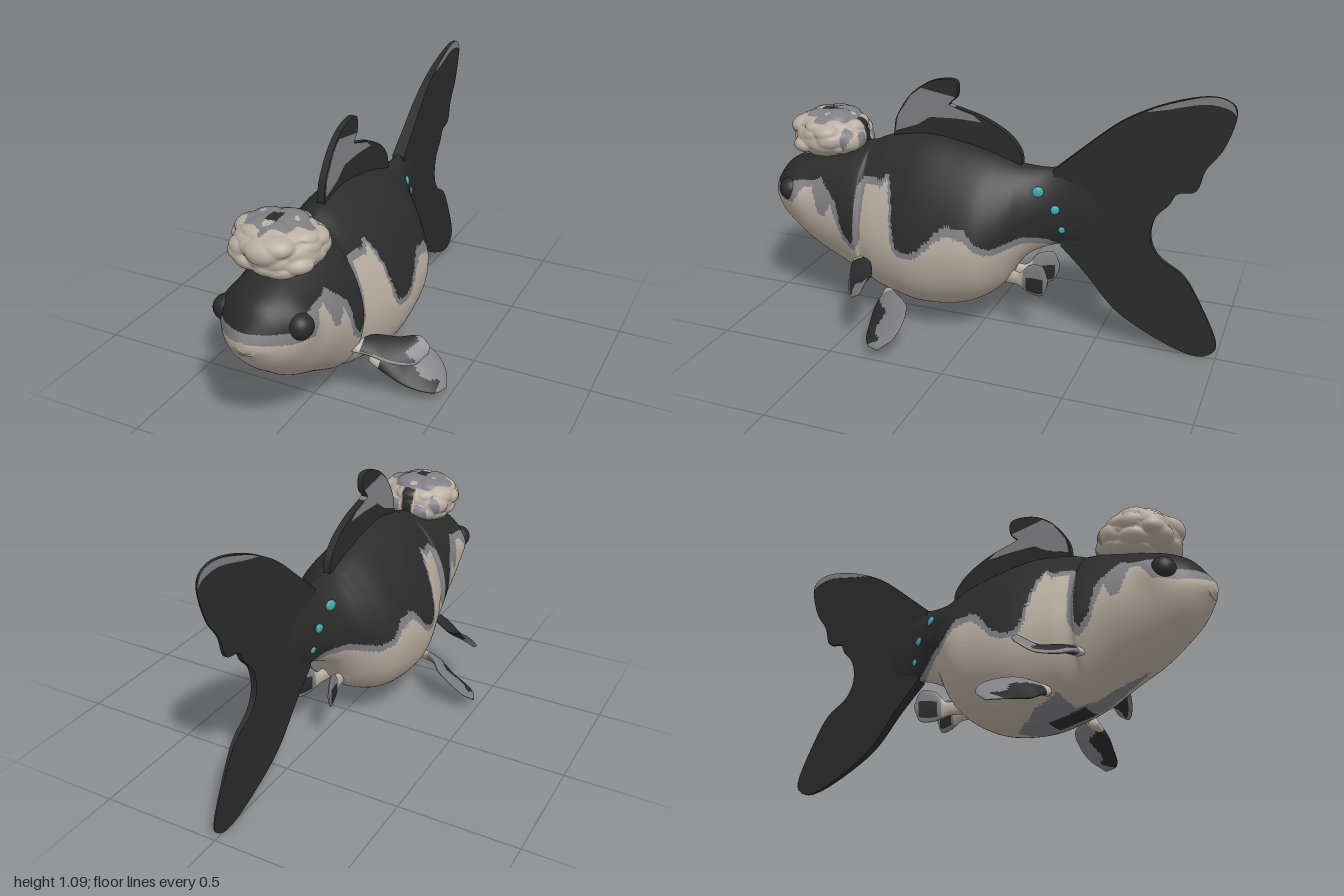
import * as THREE from 'three';

const V = (x, y, z) => new THREE.Vector3(x, y, z);
const CREAM = 0, GREY = 1, BLACK = 2;

// Linear lookup in rows sorted by descending first column
function lookup(rows, k, col) {
  if (k >= rows[0][0]) return rows[0][col];
  for (let i = 1; i < rows.length; i++) {
    const a = rows[i - 1], b = rows[i];
    if (k >= b[0]) return b[col] + (a[col] - b[col]) * (k - b[0]) / (a[0] - b[0]);
  }
  return rows[rows.length - 1][col];
}

// Skin over closed rings; pick(centre, u, v) chooses the material of each face
function skin(rings, pick) {
  const mid = r => r.reduce((s, p) => s.add(p), V(0, 0, 0)).divideScalar(r.length);
  const all = [rings[0].map(() => mid(rings[0])), ...rings, rings[0].map(() => mid(rings.at(-1)))];
  const n = rings[0].length, pts = all.flat(), buckets = [[], [], []];
  const c = V(0, 0, 0), x = V(0, 0, 0);
  let volume = 0;
  const face = (i, j, l, u, v) => {
    c.copy(pts[i]).add(pts[j]).add(pts[l]).divideScalar(3);
    volume += x.crossVectors(pts[i], pts[j]).dot(pts[l]);
    buckets[pick(c, u, v)].push(i, j, l);
  };
  for (let i = 0; i < all.length - 1; i++) for (let j = 0; j < n; j++) {
    const a = i * n + j, b = i * n + (j + 1) % n, u = i / (all.length - 1), v = j / n;
    if (i > 0) face(a, b, a + n, u, v);
    if (i < all.length - 2) face(b, b + n, a + n, u, v);
  }
  // Turn every face outward
  if (volume < 0) for (const l of buckets) for (let i = 0; i < l.length; i += 3) [l[i], l[i + 1]] = [l[i + 1], l[i]];
  const g = new THREE.BufferGeometry().setFromPoints(pts);
  g.setIndex(buckets.flat());
  let start = 0;
  buckets.forEach((l, k) => { if (l.length) g.addGroup(start, l.length, k); start += l.length; });
  g.computeVertexNormals();
  return g;
}

// Lens-section fin between two edge curves
function blade(edgeA, edgeB, side, thick, pick) {
  const rail = e => new THREE.CatmullRomCurve3(e.map(p => V(p[0] * side, p[1], p[2])));
  const A = rail(edgeA), B = rail(edgeB), N = 40, M = 22, rings = [];
  for (let i = 0; i <= N; i++) {
    const u = i / N, f = Math.min(u, 0.85), a = A.getPoint(u), b = B.getPoint(u);
    const dir = A.getTangent(f).add(B.getTangent(f));
    const nrm = B.getPoint(f).sub(A.getPoint(f)).cross(dir).normalize();
    const t = thick * (1 - 0.8 * u), ring = [];
    for (let j = 0; j < 2 * M; j++) {
      const w = j * Math.PI / M;
      ring.push(a.clone().lerp(b, (1 - Math.cos(w)) / 2).addScaledVector(nrm, t * Math.sin(w)));
    }
    rings.push(ring);
  }
  return skin(rings, (c, u, v) => pick(u, (1 - Math.cos(v * 2 * Math.PI)) / 2));
}

// Upright slab from a (z, y) outline with a tapering half thickness
function slab(outline, half) {
  const shape = new THREE.Shape(outline.map(p => new THREE.Vector2(p[0], p[1])));
  const g = new THREE.ExtrudeGeometry(shape, { depth: 2, bevelEnabled: false });
  const p = g.attributes.position;
  for (let i = 0; i < p.count; i++) {
    const z = p.getX(i), y = p.getY(i);
    p.setXYZ(i, (1 - p.getZ(i)) * half(z, y), y, z);
  }
  g.computeVertexNormals();
  return g;
}

const smooth = (pts, n) => new THREE.SplineCurve(pts.map(p => new THREE.Vector2(p[0], p[1]))).getPoints(n).map(p => [p.x, p.y]);

// Body stations: z, top, bottom, half width, height of widest point
const BODY = [
  [0.995, 0.53, 0.49, 0.02, 0.51], [0.97, 0.57, 0.455, 0.07, 0.5], [0.92, 0.635, 0.385, 0.125, 0.5],
  [0.85, 0.675, 0.325, 0.17, 0.5], [0.75, 0.71, 0.25, 0.195, 0.48], [0.62, 0.745, 0.185, 0.215, 0.46],
  [0.52, 0.77, 0.137, 0.232, 0.44], [0.49, 0.778, 0.128, 0.223, 0.42], [0.41, 0.81, 0.11, 0.25, 0.4],
  [0.25, 0.835, 0.085, 0.285, 0.38], [0.09, 0.815, 0.1, 0.285, 0.4], [-0.02, 0.79, 0.145, 0.27, 0.42],
  [-0.1, 0.765, 0.21, 0.22, 0.46], [-0.15, 0.75, 0.29, 0.175, 0.5], [-0.2, 0.745, 0.355, 0.125, 0.53],
  [-0.28, 0.745, 0.4, 0.07, 0.57], [-0.36, 0.76, 0.42, 0.044, 0.57], [-0.45, 0.76, 0.41, 0.028, 0.57],
  [-0.55, 0.7, 0.45, 0.01, 0.57]];

// Flank markings: z, lower limit of black, lower limit of grey
const MARKS = [
  [1, 0.56, 0.525], [0.9, 0.55, 0.505], [0.82, 0.6, 0.51], [0.77, 0.61, 0.58], [0.73, 0.61, 0.59], [0.69, 0.63, 0.48],
  [0.66, 0.6, 0.47], [0.63, 0.57, 0.53], [0.6, 0.54, 0.46], [0.57, 0.42, 0.38], [0.53, 0.37, 0.34],
  [0.515, 0.4, 0.34], [0.51, 0.62, 0.35], [0.485, 0.66, 0.4], [0.475, 0.66, 0.63], [0.4, 0.66, 0.63], [0.37, 0.69, 0.67],
  [0.34, 0.62, 0.55], [0.32, 0.5, 0.42], [0.3, 0.41, 0.38], [0.26, 0.39, 0.37], [0.2, 0.41, 0.38],
  [0.17, 0.44, 0.41], [0.12, 0.5, 0.46], [0.08, 0.53, 0.49], [0, 0.52, 0.48], [-0.05, 0.46, 0.43],
  [-0.1, 0.44, 0.41], [-0.2, 0.47, 0.44], [-0.28, 0.45, 0.42], [-0.34, 0.42, 0.4], [-0.36, 0, 0]];

// Half width of the belly patch along z
const PATCH = [[0.72, 0], [0.6, 0.035], [0.5, 0.05], [0.43, 0.07], [0.4, 0.16], [0.28, 0.14], [0.18, 0.05], [0.14, 0]];

function bodyColour(c) {
  if (c.y > lookup(MARKS, c.z, 1)) return BLACK;
  if (c.y > lookup(MARKS, c.z, 2)) return GREY;
  if (c.y < 0.3 && Math.abs(c.x) < lookup(PATCH, c.z, 1)) return c.z < 0.46 && c.z > 0.3 && Math.abs(c.x) < 0.05 ? BLACK : GREY;
  return CREAM;
}

const signedPow = (v, e) => Math.sign(v) * Math.abs(v) ** e;

function bodyGeometry() {
  const P = new THREE.CatmullRomCurve3(BODY.map(b => V(b[0], b[1], b[2])), false, 'catmullrom');
  const Q = new THREE.CatmullRomCurve3(BODY.map(b => V(b[3], b[4], 0)), false, 'catmullrom');
  const rings = [], N = 240, M = 140;
  for (let i = 0; i <= N; i++) {
    const p = P.getPoint(i / N), q = Q.getPoint(i / N), ring = [];
    // The head is fuller above and narrower at the throat than the body
    const head = THREE.MathUtils.smoothstep(p.x, 0.4, 0.65);
    for (let j = 0; j < M; j++) {
      const a = (j + 0.5) / M * Math.PI * 2, s = Math.sin(a), e = s > 0 ? 1.25 - 0.25 * head : 0.92 + 0.18 * head;
      const y = q.y + (s > 0 ? p.y - q.y : q.y - p.z) * signedPow(s, e);
      // Swelling around the eye socket
      const socket = 0.022 * Math.exp(-(((p.x - 0.82) / 0.06) ** 2) - ((y - 0.56) / 0.07) ** 2);
      const x = signedPow(Math.cos(a), e);
      ring.push(V(q.x * x + socket * Math.sign(x), y, p.x));
    }
    rings.push(ring);
  }
  return skin(rings, bodyColour);
}

// Lumpy growth on the head: an ellipsoid with uneven bumps round seeded points
function crownGeometry() {
  let seed = 7;
  const rnd = () => (seed = (seed * 16807) % 2147483647) / 2147483647;
  const seeds = Array.from({ length: 60 }, (_, k) => {
    const y = 1 - 2 * (k + 0.5) / 60, r = Math.sqrt(1 - y * y), a = k * 2.39996 + rnd() * 0.5;
    return { d: V(r * Math.cos(a), y + (rnd() - 0.5) * 0.2, r * Math.sin(a)).normalize(), h: 0.07 + rnd() * 0.17, r: 0.32 + rnd() * 0.16 };
  });
  const rings = [], N = 72, M = 120;
  for (let i = 0; i <= N; i++) {
    const t = (i + 0.1) / (N + 0.2) * Math.PI, ring = [];
    for (let j = 0; j < M; j++) {
      const a = j / M * Math.PI * 2, d = V(Math.sin(t) * Math.cos(a), Math.cos(t), Math.sin(t) * Math.sin(a));
      let bump = 0;
      for (const s of seeds) bump = Math.max(bump, s.h * Math.sqrt(Math.max(0, 1 - (d.distanceTo(s.d) / s.r) ** 2)));
      const r = 0.85 + bump;
      ring.push(V(d.x * r * 0.18, 0.788 + signedPow(d.y, 0.9) * r * 0.107, 0.71 + d.z * r * 0.172));
    }
    rings.push(ring);
  }
  return skin(rings, c => {
    const x = c.x / 0.18, y = (c.y - 0.788) / 0.11, z = (c.z - 0.71) / 0.18;
    const noise = Math.sin(9 * x + 2) * Math.sin(8 * z + 3 * y);
    if (Math.abs(x + 0.05) < 0.13 && (z < -0.7 || (y > 0.7 && z > -0.1 && z < 0.25))) return BLACK;
    return y - 0.15 * z + 0.2 * noise > 0.74 || (z < -0.6 && noise > 0.1) ? GREY : CREAM;
  });
}

export function createModel() {
  const root = new THREE.Group();
  const mat = (name, color) => Object.assign(new THREE.MeshStandardMaterial({ color }), { name });
  const cream = mat('cream', 0xb8ada0), grey = mat('grey', 0x7f7f83), black = mat('black', 0x2b2b2b), teal = mat('teal', 0x45aaaa);
  const skinMats = [cream, grey, black];
  const add = (name, geo, m) => {
    const mesh = new THREE.Mesh(geo, m);
    mesh.name = name;
    root.add(mesh);
    return mesh;
  };

  add('body', bodyGeometry(), skinMats);
  add('headGrowth', crownGeometry(), skinMats);

  // Lips
  const lips = add('lips', new THREE.TorusGeometry(0.036, 0.013, 12, 32), cream);
  lips.scale.y = 0.5;
  lips.position.set(0, 0.49, 0.972);

  // Tail fin with its pale tip edge
  const tailHalf = z => 0.002 + 0.037 * Math.max(0, z + 1);
  const tail = [[-0.3, 0.74], [-0.4, 0.83], [-0.56, 0.965], [-0.72, 1.05], [-0.88, 1.097], [-0.97, 1.085], [-0.998, 1.03],
    [-0.96, 0.9], [-0.9, 0.81], [-0.87, 0.72], [-0.8, 0.7], [-0.77, 0.65], [-0.72, 0.59], [-0.705, 0.5], [-0.745, 0.42],
    [-0.85, 0.35], [-0.93, 0.225], [-0.995, 0.09], [-0.985, 0.03], [-0.91, 0.005], [-0.77, 0.05], [-0.585, 0.155],
    [-0.45, 0.305], [-0.34, 0.415]];
  add('tailFin', slab(smooth(tail, 140), tailHalf), black);
  const tip = [[-0.66, 1.018], [-0.72, 1.048], [-0.88, 1.096], [-0.97, 1.084], [-0.997, 1.03], [-0.97, 1.055], [-0.88, 1.068], [-0.74, 1.035]];
  add('tailTipEdge', slab(smooth(tip, 40), z => tailHalf(z) + 0.002), grey);

  // Dorsal fin with its pale panel
  const dorsalHalf = (z, y) => 0.016 - 0.015 * Math.max(0, y - 0.8);
  const dorsal = [[0.41, 0.77], [0.405, 0.84], [0.39, 0.9], [0.33, 0.99], [0.25, 1.05], [0.165, 1.072], [0.12, 1.06], [0.122, 1.0],
    [0.155, 0.965], [0.1, 0.95], [0, 0.92], [-0.1, 0.865], [-0.155, 0.8], [-0.165, 0.74]];
  add('dorsalFin', slab(smooth(dorsal, 70), dorsalHalf), black);
  const panel = [[0.4, 0.83], [0.388, 0.895], [0.328, 0.987], [0.28, 1.025], [0.22, 1.015], [0.128, 1.0], [0.158, 0.965], [0.1, 0.946],
    [0.05, 0.933], [0.01, 0.905], [0.12, 0.91], [0.24, 0.905], [0.3, 0.865]];
  add('dorsalPanel', slab(panel, (z, y) => dorsalHalf(z, y) + 0.002), grey);

  for (const side of [1, -1]) {
    const tag = side > 0 ? 'left' : 'right';

    const eye = add(tag + 'Eye', new THREE.SphereGeometry(0.05, 32, 20), black);
    eye.position.set(0.15 * side, 0.555, 0.848);

    add(tag + 'PectoralFin', blade(
      [[0.17, 0.305, 0.5], [0.24, 0.308, 0.43], [0.32, 0.295, 0.385], [0.4, 0.31, 0.365], [0.445, 0.28, 0.37]],
      [[0.17, 0.28, 0.54], [0.25, 0.268, 0.52], [0.33, 0.235, 0.49], [0.41, 0.222, 0.44], [0.447, 0.255, 0.39]],
      side, 0.02, (u, v) => u < 0.15 ? CREAM : u > 0.66 + 0.06 * Math.sin(v * 9) || v > 0.95 - 0.1 * u ? GREY : BLACK), skinMats);

    add(tag + 'PelvicFin', blade(
      [[0.19, 0.175, 0.36], [0.28, 0.2, 0.29], [0.34, 0.185, 0.22], [0.41, 0.14, 0.208], [0.46, 0.09, 0.23], [0.485, 0.05, 0.28]],
      [[0.19, 0.145, 0.39], [0.28, 0.11, 0.4], [0.35, 0.075, 0.39], [0.42, 0.055, 0.37], [0.465, 0.045, 0.34], [0.488, 0.044, 0.29]],
      side, 0.02, (u, v) => u < 0.1 ? CREAM : v > 0.58 + 0.1 * Math.sin(u * 14) && u < 0.75 ? BLACK : GREY), skinMats);

    add(tag + 'AnalFin', blade(
      [[0.03, 0.29, -0.1], [0.045, 0.275, -0.17], [0.062, 0.325, -0.22], [0.08, 0.335, -0.28], [0.086, 0.28, -0.307]],
      [[0.03, 0.21, -0.09], [0.042, 0.215, -0.16], [0.06, 0.195, -0.22], [0.08, 0.2, -0.28], [0.086, 0.25, -0.305]],
      side, 0.02, (u, v) => u < 0.38 ? CREAM : v > 0.4 && v < 0.9 && u > 0.45 && u < 0.78 ? BLACK : GREY), skinMats);

    // Bright spots at the tail root, turned to follow the taper
    [[0.067, 0.655, -0.25, 0.024], [0.054, 0.582, -0.32, 0.019], [0.04, 0.495, -0.348, 0.015]].forEach(([x, y, z, r], i) => {
      const spot = add(tag + 'Spot' + (i + 1), new THREE.SphereGeometry(r, 16, 10), teal);
      spot.scale.x = 0.4;
      spot.rotation.y = 0.4 * side;
      spot.position.set(x * side, y, z);
    });
  }
  return root;
}
